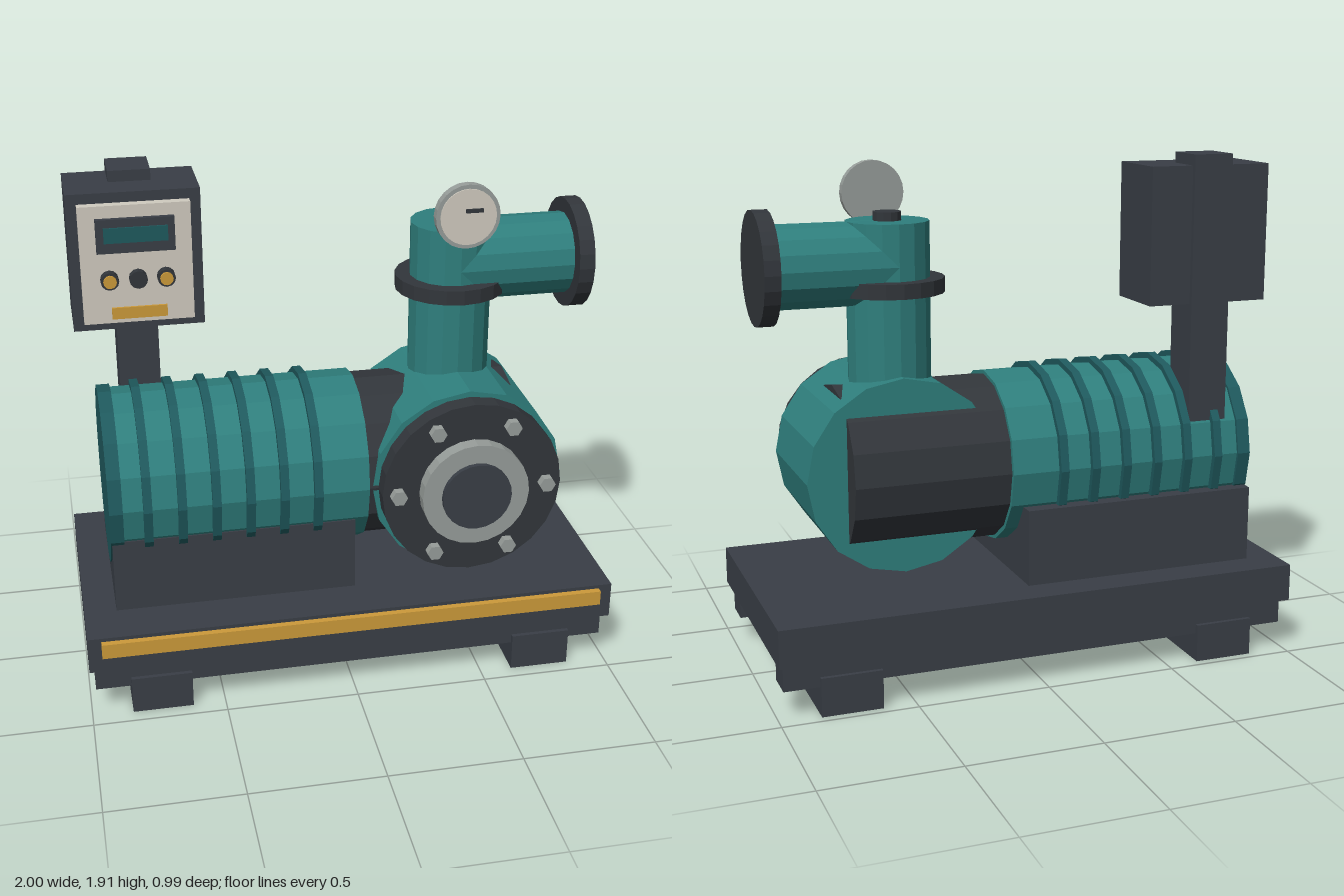
import * as THREE from 'three';

const paint = (name, color) => Object.assign(new THREE.MeshStandardMaterial({ color }), { name });

export function createModel() {
  const model = new THREE.Group();
  model.name = 'pumpSet';

  const teal = paint('teal', 0x2f7f7d);
  const deepTeal = paint('deepTeal', 0x1f5a5e);
  const frame = paint('frameGrey', 0x393e46);
  const iron = paint('iron', 0x32363b);
  const steel = paint('steel', 0x979d9a);
  const cream = paint('cream', 0xd0cbbf);
  const amber = paint('amber', 0xcc9a3a);

  const add = (name, geometry, material) => {
    const mesh = new THREE.Mesh(geometry, material);
    mesh.name = name;
    model.add(mesh);
    return mesh;
  };

  // Box given by its limits on each axis
  const box = (name, material, [x0, x1], [y0, y1], [z0, z1]) =>
    add(name, new THREE.BoxGeometry(x1 - x0, y1 - y0, z1 - z0), material)
      .position.set((x0 + x1) / 2, (y0 + y1) / 2, (z0 + z1) / 2);

  // Faceted cylinder running from a to b along an axis; c holds the other two coordinates
  const rod = (name, material, axis, [a, b], c, r, sides = 16, turn = 0) => {
    const g = new THREE.CylinderGeometry(r, r, b - a, sides, 1, false, turn).toNonIndexed();
    if (axis === 'x') g.rotateZ(-Math.PI / 2);
    if (axis === 'z') g.rotateX(Math.PI / 2);
    g.computeVertexNormals();
    const m = (a + b) / 2;
    const p = { x: [m, c[0], c[1]], y: [c[0], m, c[1]], z: [c[0], c[1], m] }[axis];
    return add(name, g, material).position.set(...p);
  };

  // Skid: cross feet, long rails, base plate and front stripe
  for (const s of [-1, 1]) {
    const x = s * 0.735;
    box('foot', frame, [x - 0.113, x + 0.113], [0, 0.145], [-0.468, 0.446]);
    const z = -0.011 + s * 0.383;
    box('rail', frame, [-0.98, 0.98], [0.108, 0.215], [z - 0.058, z + 0.058]);
  }
  box('basePlate', frame, [-1, 1], [0.21, 0.352], [-0.493, 0.469]);
  box('frontStripe', amber, [-0.95, 0.95], [0.28, 0.338], [0.465, 0.493]);

  // Motor with cooling fins on its stand
  const axisY = 0.775, motorZ = -0.014;
  box('motorStand', frame, [-0.88, 0.03], [0.35, 0.64], [-0.365, 0.288]);
  rod('motorBody', teal, 'x', [-0.84, 0.08], [axisY, motorZ], 0.327);
  rod('motorEndCap', deepTeal, 'x', [-0.885, -0.835], [axisY, motorZ], 0.338);
  for (let i = 0; i < 6; i++) {
    const x = -0.745 + i * 0.126;
    rod('coolingFin', deepTeal, 'x', [x - 0.016, x + 0.016], [axisY, motorZ], 0.349);
  }
  rod('coupling', iron, 'x', [0.07, 0.67], [axisY, -0.01], 0.314);

  // Pump casing with its inlet flange
  const pumpX = 0.456, hub = [pumpX, axisY];
  rod('pumpCasing', teal, 'z', [-0.215, 0.302], hub, 0.364);
  rod('inletFlange', iron, 'z', [0.3, 0.373], hub, 0.342, 24);
  rod('inletRing', steel, 'z', [0.37, 0.428], hub, 0.203, 24);
  rod('inletCover', frame, 'z', [0.4, 0.447], hub, 0.131, 24);
  for (let i = 0; i < 6; i++) {
    const a = i * Math.PI / 3;
    rod('flangeBolt', steel, 'z', [0.37, 0.405],
      [pumpX + 0.284 * Math.cos(a), axisY + 0.284 * Math.sin(a)], 0.031, 6, Math.PI / 6);
  }

  // Discharge riser, collar, elbow and outlet flange
  const pipeZ = -0.033, pipeY = 1.535;
  rod('riser', teal, 'y', [0.95, 1.688], [pumpX, pipeZ], 0.154);
  rod('riserCollar', iron, 'y', [1.428, 1.483], [pumpX, pipeZ], 0.208, 20);
  rod('riserPlug', iron, 'y', [1.68, 1.72], [pumpX, pipeZ], 0.053, 12);
  rod('outletPipe', teal, 'x', [pumpX, 0.9], [pipeY, pipeZ], 0.154);
  rod('outletFlange', iron, 'x', [0.893, 0.952], [pipeY, pipeZ], 0.208, 24);

  // Pressure gauge
  const dial = [pumpX, 1.77];
  rod('gaugeCase', steel, 'z', [0.152, 0.187], dial, 0.119, 24);
  rod('gaugeFace', cream, 'z', [0.185, 0.192], dial, 0.104, 24);
  box('gaugeNeedle', iron, [0.445, 0.508], [1.787, 1.801], [0.19, 0.199]);

  // Control cabinet on its post
  box('cabinetPost', frame, [-0.792, -0.638], [0.7, 1.913], [-0.311, -0.147]);
  box('cabinet', frame, [-0.952, -0.475], [1.358, 1.872], [-0.294, -0.02]);
  box('controlPanel', cream, [-0.914, -0.515], [1.395, 1.835], [-0.025, 0.015]);
  box('displayBezel', frame, [-0.855, -0.575], [1.665, 1.79], [0.01, 0.034]);
  box('displayScreen', deepTeal, [-0.828, -0.6], [1.704, 1.76], [0.033, 0.04]);
  box('panelLabel', amber, [-0.813, -0.613], [1.412, 1.455], [0.012, 0.024]);
  [-0.815, -0.713, -0.613].forEach((x, i) => {
    rod('knob', iron, 'z', [0.01, 0.045], [x, 1.564], 0.033, 12);
    if (i !== 1) rod('knobCap', amber, 'z', [0.04, 0.054], [x, 1.564], 0.024, 12);
  });

  return model;
}
